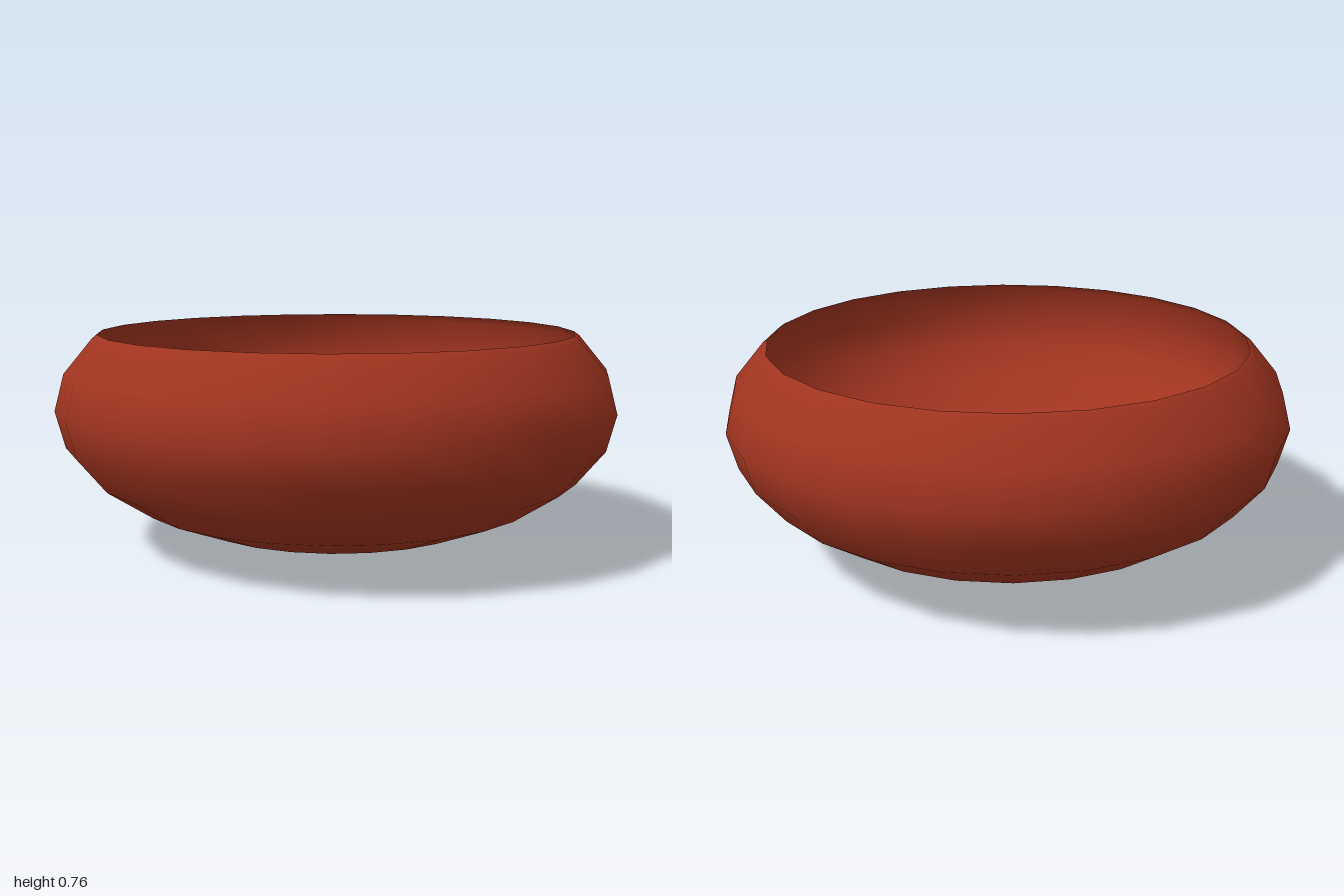
import * as THREE from 'three';

export function createModel() {
  const model = new THREE.Group();
  const makeMaterial = (name, color) => {
    const material = new THREE.MeshStandardMaterial({ color });
    material.name = name;
    return material;
  };
  const clay = makeMaterial('terracotta', 0xa0341f);
  const silver = makeMaterial('silver', 0xc6c7c8);
  const brass = makeMaterial('brass', 0xd6a341);

  const add = (parent, name, geometry, material) => {
    const mesh = new THREE.Mesh(geometry, material);
    mesh.name = name;
    parent.add(mesh);
    return mesh;
  };

  // Half-height ellipse from the bottom up to a given latitude, ending at the rim
  const bowlProfile = (radius, centreY, lastDegree) => {
    const points = [];
    for (let deg = -90; deg <= lastDegree; deg += 15) {
      const a = THREE.MathUtils.degToRad(deg);
      points.push(new THREE.Vector2(
        deg === -90 ? 0 : radius * Math.cos(a),
        centreY + 0.5 * radius * Math.sin(a)
      ));
    }
    points.push(new THREE.Vector2(0.848, 0.763));
    return points;
  };

  // Bowl: outer shell, and a smaller raised hollow meeting it at a sharp rim
  const bowl = new THREE.Group();
  bowl.name = 'bowl';
  model.add(bowl);
  add(bowl, 'bowlOutside', new THREE.LatheGeometry(bowlProfile(1, 0.5, 30), 24), clay);
  add(bowl, 'bowlInside', new THREE.LatheGeometry(bowlProfile(0.9, 0.62, 15).reverse(), 24), clay);

  // Key ring lying flat
  const ring = add(model, 'keyRing', new THREE.TorusGeometry(0.18, 0.025, 12, 32), silver);
  ring.rotation.x = Math.PI / 2;
  ring.position.y = 0.338;

  // Keys fan out from the ring centre: round head and straight blade
  const addKey = (name, material, degrees, y) => {
    const key = new THREE.Group();
    key.name = name;
    key.position.y = y;
    key.rotation.y = THREE.MathUtils.degToRad(degrees);
    const head = add(key, 'keyHead', new THREE.CylinderGeometry(0.13, 0.13, 0.024, 24), material);
    head.position.x = 0.225;
    const blade = add(key, 'keyBlade', new THREE.BoxGeometry(0.438, 0.025, 0.08), material);
    blade.position.set(0.531, 0.023, 0);
    model.add(key);
  };
  addKey('brassKey', brass, 30, 0.328);
  addKey('silverKey', silver, -20, 0.338);

  return model;
}
